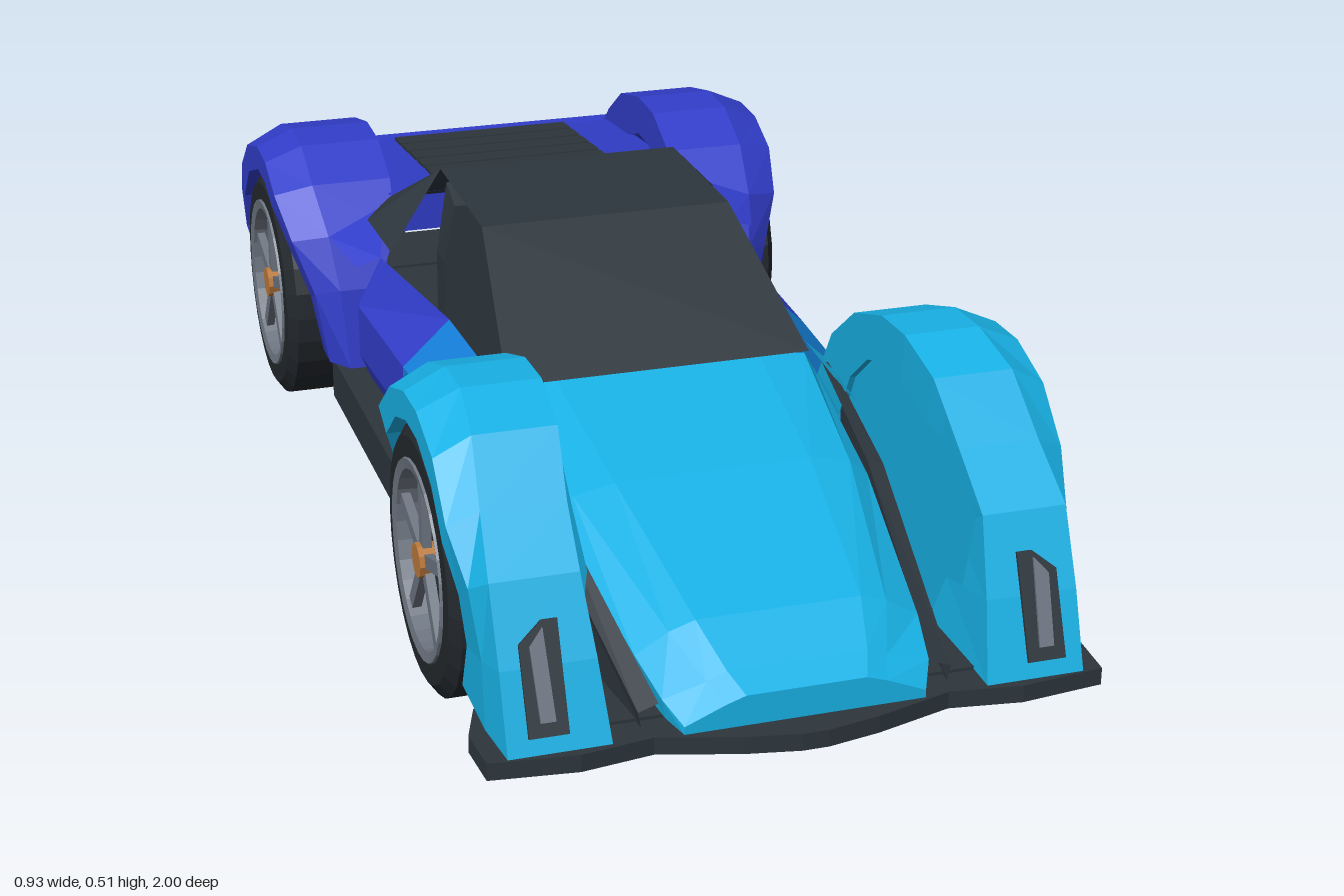
import * as THREE from 'three';

const mat = (name, color) => {
  const m = new THREE.MeshStandardMaterial({ color, side: THREE.DoubleSide });
  m.name = name;
  return m;
};

export function createModel() {
  const car = new THREE.Group();
  car.name = 'car';
  const cyan = mat('cyan paint', 0x18b2e6);
  const blue = mat('mid blue paint', 0x1580da);
  const indigo = mat('indigo paint', 0x313dc9);
  const dark = mat('dark trim', 0x2d363d);
  const rubber = mat('tyre rubber', 0x23282d);
  const metal = mat('wheel metal', 0x6e7682);
  const copper = mat('copper hub', 0xbd7a3c);
  const red = mat('red lamp', 0xd2281a);

  const add = (name, geo, material, parent = car) => {
    const g = geo.index ? geo.toNonIndexed() : geo;
    g.computeVertexNormals();
    const m = new THREE.Mesh(g, material);
    m.name = name;
    parent.add(m);
    return m;
  };
  const box = (name, material, size, pos, parent = car) => {
    const m = add(name, new THREE.BoxGeometry(...size), material, parent);
    m.position.set(...pos);
    return m;
  };
  // Skin over cross-sections; optional closed rings and end caps
  const loft = (rows, { closed = false, capStart = false, capEnd = false } = {}) => {
    const pos = [];
    const tri = (a, b, c) => pos.push(...a, ...b, ...c);
    const n = rows[0].length;
    for (let i = 0; i < rows.length - 1; i++) {
      for (let j = 0; j < (closed ? n : n - 1); j++) {
        const k = (j + 1) % n;
        tri(rows[i][j], rows[i + 1][j], rows[i + 1][k]);
        tri(rows[i][j], rows[i + 1][k], rows[i][k]);
      }
    }
    const cap = (r) => { for (let j = 1; j < n - 1; j++) tri(r[0], r[j], r[j + 1]); };
    if (capStart) cap(rows[0]);
    if (capEnd) cap([...rows[rows.length - 1]].reverse());
    const g = new THREE.BufferGeometry();
    g.setAttribute('position', new THREE.Float32BufferAttribute(pos, 3));
    return g;
  };
  // Half section [x, y] from the bottom up, mirrored to a full section at z
  const section = (z, half) => [
    ...half.map(([x, y]) => [x, y, z]),
    ...[...half].reverse().map(([x, y]) => [-x, y, z]),
  ];
  // Flat outline of [x, z] half points, extruded from y0 to y1
  const slab = (half, y0, y1) => {
    const pts = [...half, ...[...half].reverse().map(([x, z]) => [-x, z])];
    const s = new THREE.Shape(pts.map(([x, z]) => new THREE.Vector2(x, -z)));
    return new THREE.ExtrudeGeometry(s, { depth: y1 - y0, bevelEnabled: false })
      .rotateX(-Math.PI / 2).translate(0, y0, 0);
  };

  // Floor, splitter and sills
  add('undertray', slab([[0.3, 0.9], [0.3, 0.34], [0.39, 0.3], [0.39, -0.4],
    [0.32, -0.42], [0.32, -0.83], [0.39, -0.86], [0.39, -0.9]], 0.065, 0.09), dark);
  add('sills', slab([[0.3, 0.36], [0.39, 0.3], [0.39, -0.4], [0.32, -0.42], [0.32, -0.82]], 0.09, 0.14), dark);
  add('splitter', slab([[0.44, 0.8], [0.465, 0.87], [0.46, 0.95], [0.33, 0.965],
    [0.22, 0.95], [0.1, 0.985], [0.02, 1]], 0.058, 0.085), dark);
  add('diffuser', slab([[0.33, -0.8], [0.4, -0.87], [0.4, -0.98]], 0.062, 0.145), dark);
  for (let i = -2; i <= 2; i++) box('diffuserFin', dark, [0.014, 0.1, 0.18], [i * 0.126, 0.093, -0.91]);

  // Hood
  add('hood', loft([
    section(0.27, [[0.255, 0.14], [0.265, 0.31], [0.25, 0.335], [0.17, 0.346]]),
    section(0.55, [[0.24, 0.13], [0.25, 0.245], [0.22, 0.272], [0.155, 0.285]]),
    section(0.84, [[0.21, 0.11], [0.215, 0.155], [0.165, 0.185], [0.125, 0.198]]),
    section(0.92, [[0.195, 0.095], [0.2, 0.125], [0.135, 0.143], [0.105, 0.155]]),
    section(0.96, [[0.18, 0.088], [0.18, 0.1], [0.12, 0.125], [0.09, 0.135]]),
  ], { capEnd: true }), cyan);

  // Canopy: open sheets with a windscreen, roof and rear slope
  const canopy = [[0.29, 0.346, 0.25], [0, 0.505, 0.212], [-0.29, 0.51, 0.21], [-0.45, 0.41, 0.27]];
  ['windscreen', 'roof', 'rearSlope'].forEach((name, i) => add(name,
    loft([canopy[i], canopy[i + 1]].map(([z, y, x]) => [[x, y, z], [-x, y, z]])), dark));

  // Cabin
  add('bulkhead', loft([[-0.235, 0.46], [-0.29, 0.485]].map(([z, y]) =>
    section(z, [[0.22, 0.14], [0.22, 0.36], [0.2, y]])), { closed: true, capStart: true, capEnd: true }), dark);
  box('dashboard', dark, [0.44, 0.07, 0.08], [0, 0.32, 0.205]);

  // Rear deck with louvres
  const slope = Math.atan(0.035 / 0.4);
  add('rearDeck', loft([[-0.43, 0.422], [-0.85, 0.385]].map(([z, y]) => [[0.27, y, z], [-0.27, y, z]])), indigo);
  for (let i = 0; i < 6; i++) {
    const z = -0.502 - i * 0.0625;
    box('louvre', dark, [0.335, 0.006, 0.052], [0, 0.42 + (z + 0.45) * 0.0875 + 0.003, z]).rotation.x = -slope;
  }

  // Tail
  add('tail', loft([
    section(-0.85, [[0.41, 0.2], [0.41, 0.36], [0.27, 0.385]]),
    section(-0.975, [[0.375, 0.15], [0.38, 0.325], [0.26, 0.34]]),
  ], { capEnd: true }), indigo);
  box('tailLip', indigo, [0.75, 0.012, 0.06], [0, 0.342, -0.965]);

  // Fender stations: [z, y, arch angle, inner x, top edge x, outer x]
  const fender = (stations, cz) => loft(stations.map(([z, y, deg, xi, xt, xo]) => {
    const a = THREE.MathUtils.degToRad(deg);
    const az = cz + 0.213 * Math.cos(a), ay = 0.207 + 0.213 * Math.sin(a);
    const mix = (p, q) => p + (q - p) * 0.4;
    return [[xi, ay, az], [xi, y, z], [xt, y, z], [xo, mix(y, ay), mix(z, az)], [xo, ay, az]];
  }), { closed: true, capStart: true, capEnd: true });
  const frontStations = [
    [0.25, 0.13, 200, 0.29, 0.36, 0.4], [0.255, 0.29, 165, 0.28, 0.38, 0.44],
    [0.31, 0.38, 142, 0.28, 0.4, 0.465], [0.4, 0.45, 118, 0.28, 0.4, 0.465],
    [0.51, 0.487, 98, 0.28, 0.4, 0.465], [0.6, 0.49, 80, 0.28, 0.4, 0.465],
    [0.7, 0.46, 55, 0.285, 0.41, 0.465], [0.78, 0.38, 32, 0.295, 0.42, 0.465],
    [0.86, 0.31, 12, 0.3, 0.43, 0.45], [0.91, 0.2, -10, 0.29, 0.43, 0.44],
    [0.95, 0.085, -33, 0.28, 0.43, 0.44],
  ];
  const rearStations = [
    [-0.335, 0.14, -17, 0.32, 0.37, 0.4], [-0.355, 0.28, 12, 0.31, 0.38, 0.42],
    [-0.39, 0.37, 38, 0.27, 0.39, 0.45], [-0.47, 0.44, 60, 0.26, 0.4, 0.465],
    [-0.56, 0.485, 78, 0.26, 0.4, 0.465], [-0.65, 0.49, 95, 0.26, 0.4, 0.465],
    [-0.76, 0.465, 125, 0.26, 0.4, 0.465], [-0.84, 0.41, 150, 0.26, 0.4, 0.465],
    [-0.9, 0.35, 170, 0.26, 0.39, 0.46], [-0.92, 0.2, 190, 0.3, 0.39, 0.44],
  ];
  const plate = (pts, depth) => new THREE.ExtrudeGeometry(
    new THREE.Shape(pts.map((p) => new THREE.Vector2(...p))), { depth, bevelEnabled: false });

  const buildWheel = (z, parent) => {
    const wheel = new THREE.Group();
    wheel.name = 'wheel';
    wheel.position.set(0.3975, 0.206, z);
    parent.add(wheel);
    const lathe = (pts) => new THREE.LatheGeometry(pts.map((p) => new THREE.Vector2(...p)), 28).rotateZ(-Math.PI / 2);
    add('tyre', lathe([[0.13, -0.05], [0.15, -0.062], [0.185, -0.062], [0.206, -0.047],
      [0.206, 0.047], [0.185, 0.062], [0.152, 0.062], [0.148, 0.02]]), rubber, wheel);
    add('rim', lathe([[0.154, 0.06], [0.152, 0.066], [0.136, 0.063], [0.133, 0.02]]), metal, wheel);
    add('brakeDisc', new THREE.CylinderGeometry(0.148, 0.148, 0.03, 28).rotateZ(Math.PI / 2), dark, wheel);
    for (let i = 0; i < 5; i++) {
      const s = add('spoke', new THREE.BoxGeometry(0.014, 0.125, 0.021).translate(0.05, 0.078, 0), metal, wheel);
      s.rotation.x = i * Math.PI * 2 / 5;
    }
    add('hub', new THREE.CylinderGeometry(0.025, 0.027, 0.03, 10).rotateZ(Math.PI / 2), copper, wheel)
      .position.x = 0.05;
  };

  // Paired parts, built on the left and mirrored
  for (const side of [1, -1]) {
    const half = new THREE.Group();
    half.name = side > 0 ? 'leftSide' : 'rightSide';
    half.scale.x = side;
    car.add(half);

    add('frontFender', fender(frontStations, 0.56), cyan, half);
    const wall = new THREE.Shape(frontStations.slice(0, 9).map(([z, y]) => new THREE.Vector2(-z, y)));
    wall.lineTo(-0.8, 0.09);
    add('wheelWellWall', new THREE.ShapeGeometry(wall).rotateY(Math.PI / 2).translate(0.29, 0, 0), cyan, half);
    add('rearFender', fender(rearStations, -0.63), indigo, half);

    // Door skin in three colours
    const door = [
      [0.4, 0.25, 0.345, 0.31], [0.25, 0.26, 0.345, 0.335], [0, 0.27, 0.35, 0.35], [-0.29, 0.32, 0.36, 0.362],
    ].map(([z, xt, yt, xm]) => [[xt, yt, z], [xm, 0.275, z], [xm, 0.185, z], [xm - 0.02, 0.135, z]]);
    [['cowlPanel', cyan], ['doorFront', blue], ['doorRear', indigo]].forEach(([name, m], i) =>
      add(name, loft([door[i], door[i + 1]]), m, half));

    // Shoulder joining the door to the rear fender
    add('shoulder', loft([
      [[0.32, 0.36, -0.29], [0.362, 0.345, -0.295]],
      [[0.28, 0.405, -0.43], [0.39, 0.37, -0.39]],
    ]), indigo, half);

    // Dark blade between hood and fender
    add('hoodDuct', loft([
      [[0.268, 0.33, 0.3], [0.285, 0.325, 0.3], [0.285, 0.13, 0.3]],
      [[0.25, 0.265, 0.55], [0.275, 0.26, 0.55], [0.27, 0.1, 0.55]],
      [[0.205, 0.12, 0.92], [0.235, 0.11, 0.92], [0.23, 0.085, 0.92]],
    ]), dark, half);

    // Rear quarter panel
    add('quarterPanel', loft([
      [[0.21, 0.51, -0.29], [0.27, 0.41, -0.45]],
      [[0.3, 0.366, -0.295], [0.32, 0.395, -0.39]],
    ]), dark, half);

    // Headlamp plates laid on the sloping fender nose
    const lamp = new THREE.Group();
    lamp.name = 'headlamp';
    lamp.position.set(0.37, 0.185, 0.917);
    lamp.rotation.x = -0.39;
    half.add(lamp);
    add('lampSurround', plate([[-0.028, -0.08], [0.03, -0.08], [0.03, 0.05], [-0.005, 0.08], [-0.028, 0.08]], 0.005), dark, lamp);
    add('lampStrip', plate([[-0.01, -0.06], [0.012, -0.06], [0.016, 0.045], [-0.005, 0.07]], 0.009), metal, lamp);

    box('tailLamp', red, [0.022, 0.125, 0.016], [0.335, 0.26, -0.984], half);
    buildWheel(0.56, half);
    buildWheel(-0.63, half);
  }
  return car;
}
